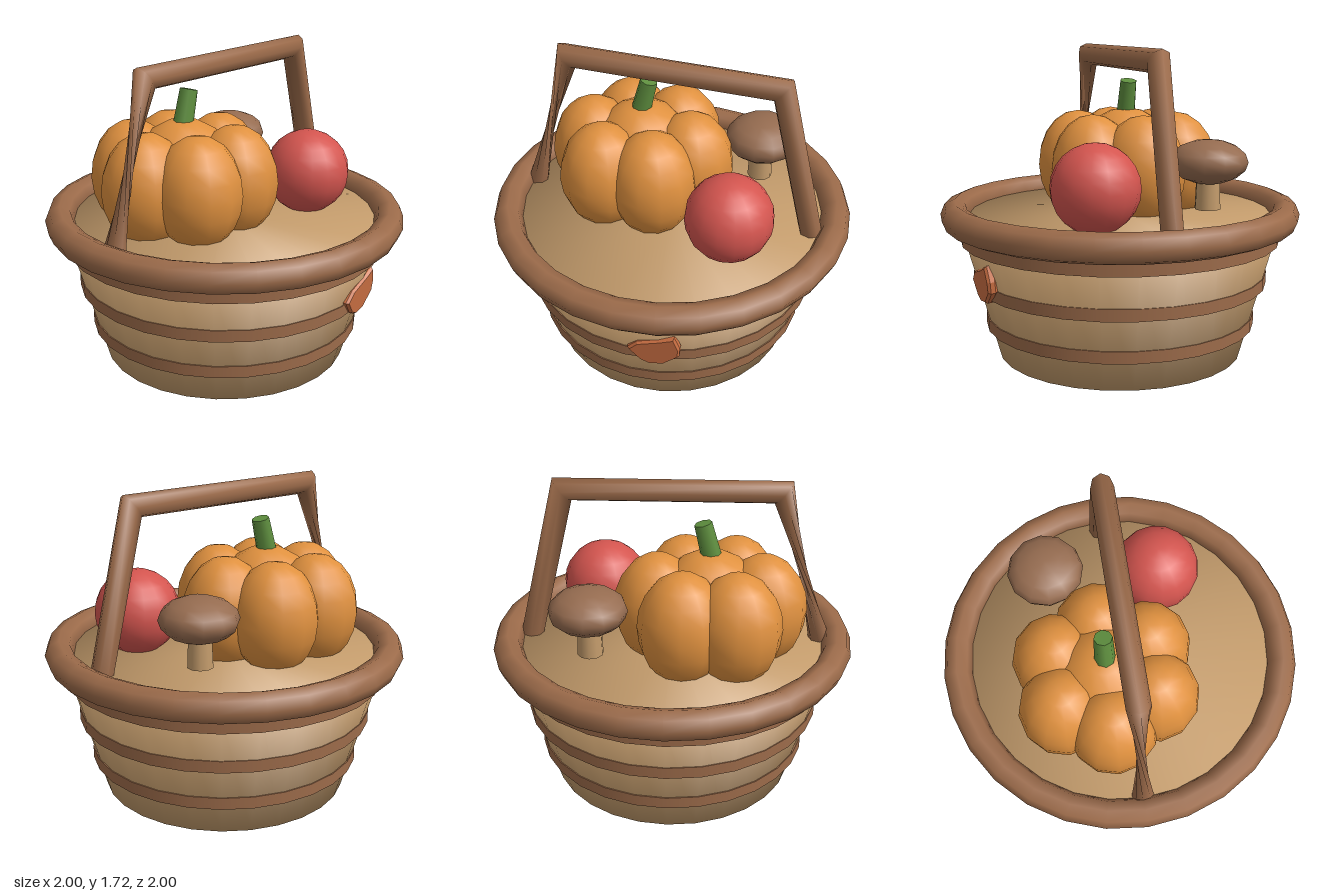
import * as THREE from 'three';

const mat = (name, color) => {
  const m = new THREE.MeshStandardMaterial({ color });
  m.name = name;
  return m;
};

// Round sweep through straight path points; each ring is mitred and may be twisted.
function sweptHandle(path, radius, twists, sides = 8) {
  const pos = [], index = [];
  const dir = (a, b) => new THREE.Vector2().subVectors(b, a).normalize();
  path.forEach((p, i) => {
    const before = dir(path[Math.max(i - 1, 0)], path[Math.max(i, 1)]);
    const after = dir(path[Math.min(i, path.length - 2)], path[Math.min(i + 1, path.length - 1)]);
    const t = before.clone().add(after).normalize();
    const stretch = radius / t.dot(before);
    for (let j = 0; j < sides; j++) {
      const a = (j / sides) * Math.PI * 2 + twists[i];
      const u = Math.cos(a) * stretch;
      pos.push(p.x - t.y * u, p.y + t.x * u, Math.sin(a) * radius);
    }
  });
  for (let i = 0; i < path.length - 1; i++) {
    for (let j = 0; j < sides; j++) {
      const a = i * sides + j, b = i * sides + (j + 1) % sides;
      index.push(a, b, a + sides, b, b + sides, a + sides);
    }
  }
  const g = new THREE.BufferGeometry();
  g.setAttribute('position', new THREE.Float32BufferAttribute(pos, 3));
  g.setIndex(index);
  g.computeVertexNormals();
  return g;
}

export function createModel() {
  const model = new THREE.Group();
  model.name = 'harvestBasket';

  const tan = mat('wickerTan', 0xc49c6c);
  const brown = mat('wovenBrown', 0x9c6b4a);
  const capBrown = mat('mushroomBrown', 0x966c50);
  const orange = mat('pumpkinOrange', 0xe0913f);
  const red = mat('appleRed', 0xd4554f);
  const green = mat('stemGreen', 0x5f8f3f);
  const rust = mat('leafRust', 0xcc7043);
  const handleMat = mat('handleBrown', 0x9c6b4a);
  handleMat.side = THREE.DoubleSide;

  const add = (name, geometry, material, x = 0, y = 0, z = 0, parent = model) => {
    const m = new THREE.Mesh(geometry, material);
    m.name = name;
    m.position.set(x, y, z);
    parent.add(m);
    return m;
  };

  // Basket body, filled to just below the rim
  const profile = [[0, 0], [0.69, 0], [0.91, 0.8], [0, 0.8]].map(p => new THREE.Vector2(...p));
  add('basketBody', new THREE.LatheGeometry(profile, 28), tan);

  // Bands around the body
  [[0.2, 0.76], [0.44, 0.825], [0.685, 0.893]].forEach(([y, r], i) =>
    add(`band${i + 1}`, new THREE.CylinderGeometry(r, r, 0.065, 28), brown, 0, y, 0));

  // Thick rim
  add('rim', new THREE.TorusGeometry(0.92, 0.08, 8, 28), brown, 0, 0.8, 0).rotation.x = Math.PI / 2;

  // Bent handle, its right leg twisted
  const path = [[-0.83, 0.78], [-0.585, 1.655], [0.585, 1.655], [0.8, 0.78]]
    .map(p => new THREE.Vector2(...p));
  add('handle', sweptHandle(path, 0.062, [2.3, 0, 0, 0]), handleMat);

  // Pumpkin: six lobes around a core
  const pumpkin = new THREE.Group();
  pumpkin.name = 'pumpkin';
  pumpkin.position.set(-0.21, 1.03, -0.11);
  model.add(pumpkin);
  const ball = new THREE.SphereGeometry(1, 12, 10);
  for (let i = 0; i < 6; i++) {
    const a = (i / 6) * Math.PI * 2;
    const lobe = add(`pumpkinLobe${i + 1}`, ball, orange, Math.cos(a) * 0.285, 0, Math.sin(a) * 0.285, pumpkin);
    lobe.scale.set(0.24, 0.31, 0.24);
    lobe.rotation.y = -a;
  }
  add('pumpkinCore', ball, orange, 0, 0, 0, pumpkin).scale.set(0.3, 0.33, 0.3);
  add('pumpkinStem', new THREE.CylinderGeometry(0.048, 0.056, 0.22, 8), green,
    0.018, 0.38, 0.002, pumpkin).rotation.z = -0.25;

  // Apple
  add('apple', new THREE.SphereGeometry(0.238, 16, 12), red, 0.4, 1.005, 0.27);

  // Mushroom
  add('mushroomStem', new THREE.CylinderGeometry(0.062, 0.07, 0.2, 10), tan, 0.42, 0.965, -0.35);
  add('mushroomCap', new THREE.SphereGeometry(1, 12, 8), capBrown, 0.425, 1.12, -0.35)
    .scale.set(0.21, 0.118, 0.21);

  // Fallen leaf stuck on the front
  const outline = [[0.02, 0.49], [0.08, 0.41], [0.13, 0.385], [0.21, 0.395], [0.295, 0.47],
    [0.3, 0.53], [0.275, 0.61], [0.2, 0.58], [0.07, 0.54]]
    .map(([x, y]) => new THREE.Vector2((x - 0.165) * 0.92, (y - 0.5) * 0.92));
  const leaf = add('leaf', new THREE.ExtrudeGeometry(new THREE.Shape(outline), {
    depth: 0.025, bevelEnabled: true, bevelThickness: 0.014, bevelSize: 0.01, bevelSegments: 1,
  }), rust, 0.165, 0.5, 0.796);
  leaf.rotation.set(0.1, 0.12, 0);

  return model;
}
